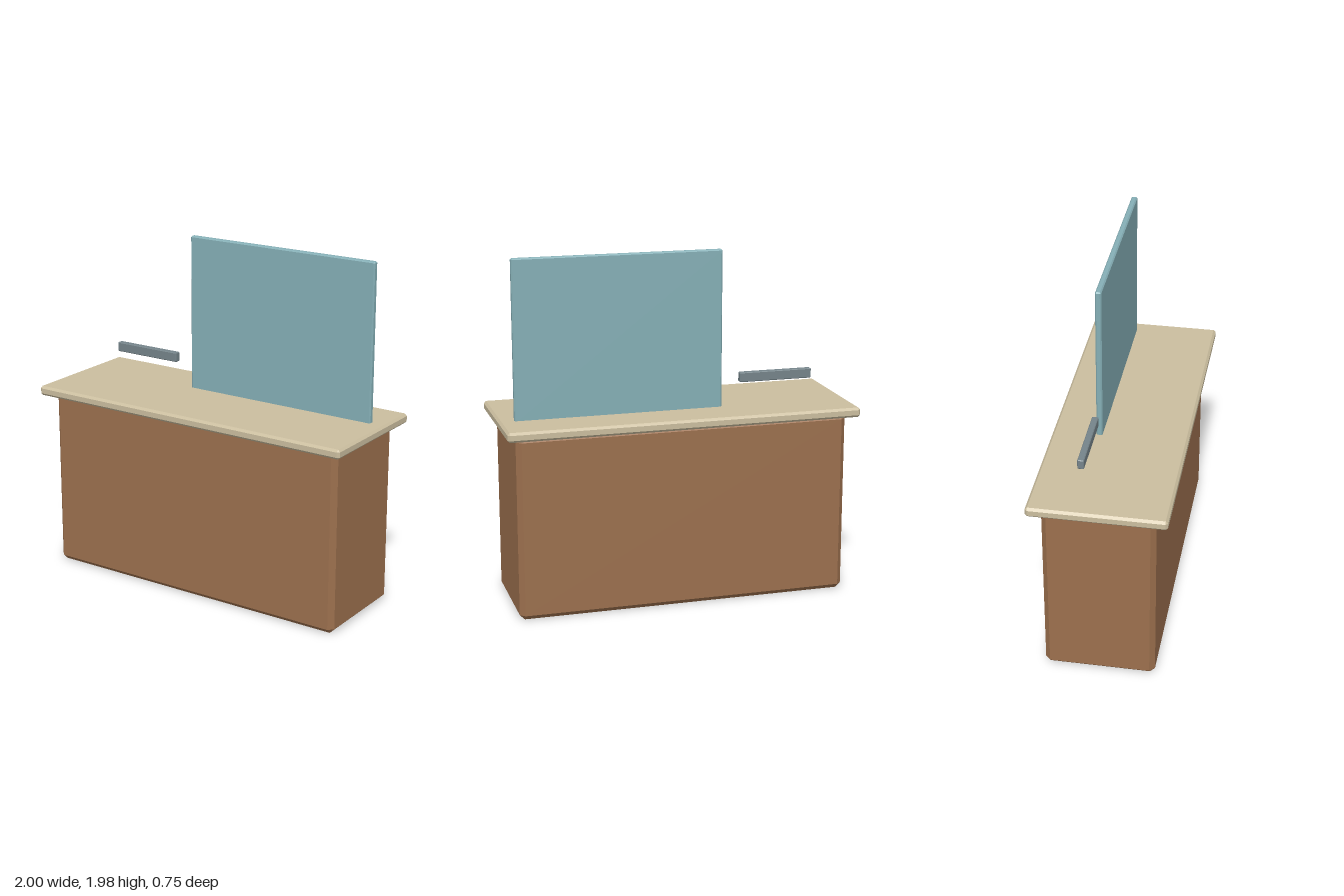
import * as THREE from 'three';
import { ConvexGeometry } from 'three/addons/geometries/ConvexGeometry.js';

const mat = (name, color) => {
  const m = new THREE.MeshStandardMaterial({ color });
  m.name = name;
  return m;
};

// Box with single flat chamfers on every edge, given by its min and max corners
function chamferBox(name, min, max, c, material) {
  const lo = new THREE.Vector3(...min), hi = new THREE.Vector3(...max);
  const h = hi.clone().sub(lo).multiplyScalar(0.5);
  const points = [];
  for (const sx of [-1, 1]) for (const sy of [-1, 1]) for (const sz of [-1, 1]) {
    points.push(
      new THREE.Vector3(sx * h.x, sy * (h.y - c), sz * (h.z - c)),
      new THREE.Vector3(sx * (h.x - c), sy * h.y, sz * (h.z - c)),
      new THREE.Vector3(sx * (h.x - c), sy * (h.y - c), sz * h.z)
    );
  }
  const mesh = new THREE.Mesh(new ConvexGeometry(points), material);
  mesh.name = name;
  mesh.position.copy(lo).add(hi).multiplyScalar(0.5);
  return mesh;
}

export function createModel() {
  const wood = mat('brown wood', 0x9c704e);
  const top = mat('beige countertop', 0xcbbe9f);
  const glass = mat('blue green glass', 0x85afb6);
  const metal = mat('grey metal', 0x75848a);

  const group = new THREE.Group();
  group.name = 'serviceCounter';
  group.add(
    // Solid cabinet and overhanging top
    chamferBox('cabinet', [-0.942, 0, -0.305], [0.942, 1.04, 0.305], 0.028, wood),
    chamferBox('countertop', [-1, 1.035, -0.375], [1, 1.09, 0.375], 0.013, top),
    // Upright screen
    chamferBox('screenPanel', [-0.26, 1.075, -0.132], [0.916, 1.977, -0.098], 0.007, glass),
    // Free-floating bar beside the screen
    chamferBox('bar', [-0.789, 1.222, -0.134], [-0.366, 1.277, -0.098], 0.004, metal)
  );
  return group;
}
